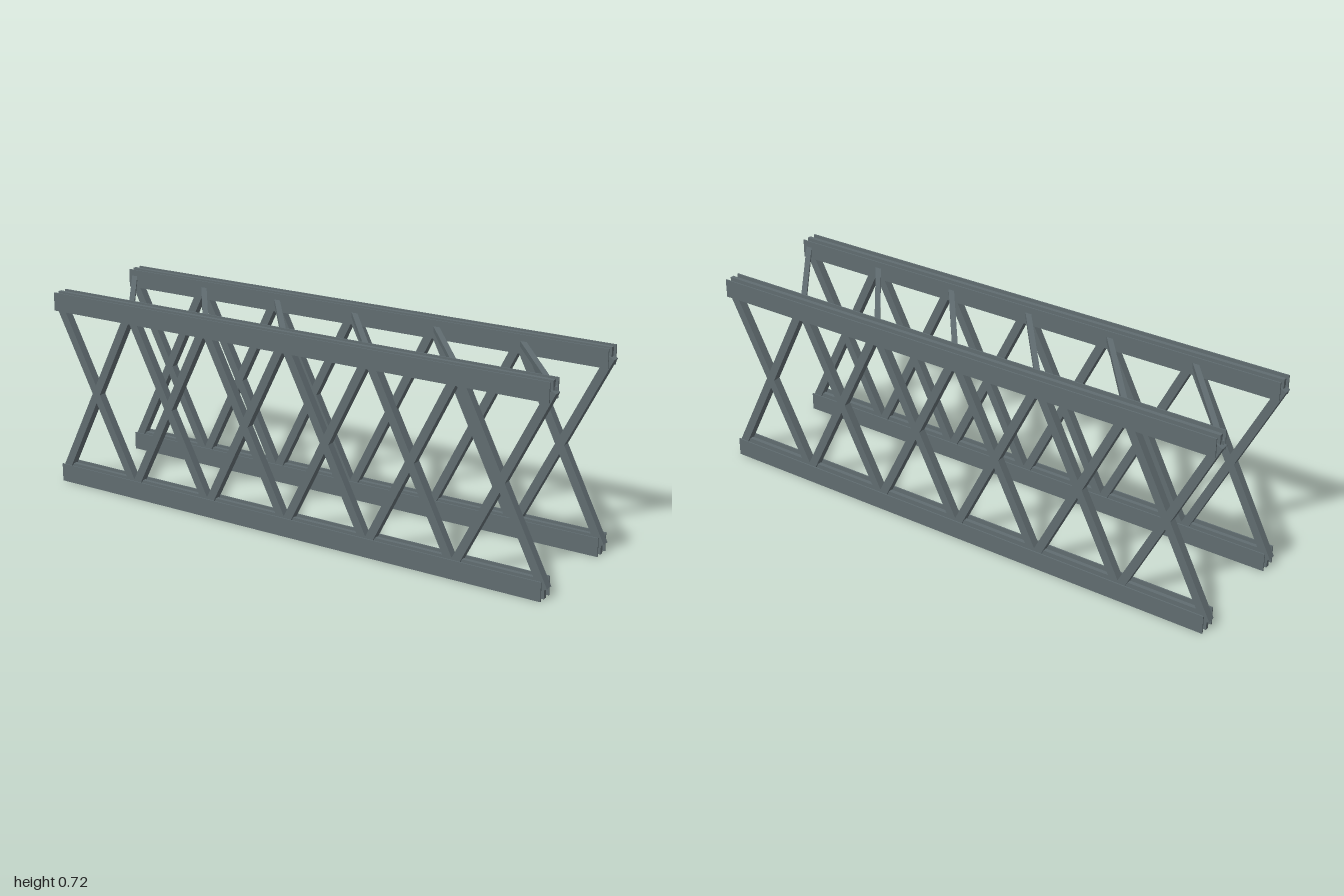
import * as THREE from 'three';

export function createModel() {
  const model = new THREE.Group();
  model.name = 'trussBridge';
  const steel = new THREE.MeshStandardMaterial({ color: 0x606c70 });
  steel.name = 'greySteel';

  const halfLength = 0.9866, panels = 6, panel = (2 * halfLength) / panels;
  const trussZ = 0.2135, lowY = 0.0335, highY = 0.6895, chordHeight = 0.067;

  const box = (parent, name, w, h, d, x, y, z) => {
    const mesh = new THREE.Mesh(new THREE.BoxGeometry(w, h, d), steel);
    mesh.name = name;
    mesh.position.set(x, y, z);
    parent.add(mesh);
    return mesh;
  };

  for (const side of [1, -1]) {
    const truss = new THREE.Group();
    truss.name = side > 0 ? 'frontTruss' : 'backTruss';
    truss.position.z = side * trussZ;
    model.add(truss);

    // Chords: a central web between two thin plates
    for (const [label, y] of [['bottom', lowY], ['top', highY]]) {
      box(truss, label + 'ChordWeb', 2 * halfLength, chordHeight, 0.0145, 0, y, 0);
      for (const s of [1, -1])
        box(truss, label + 'ChordPlate', 2 * halfLength, chordHeight, 0.0045, 0, y, s * 0.0305);
    }

    // Crossed diagonals in every panel
    const rise = highY - lowY;
    for (let i = 0; i < panels; i++) {
      const x = -halfLength + (i + 0.5) * panel;
      for (const s of [1, -1]) {
        const bar = box(truss, 'diagonal', Math.hypot(panel, rise), 0.03, 0.03,
          x, (lowY + highY) / 2, 0);
        bar.rotation.z = s * Math.atan2(rise, panel);
      }
    }
  }

  // Slanted braces joining the two top chords
  for (let i = 0; i < panels; i++) {
    const x = -halfLength + (i + 0.5) * panel;
    const brace = box(model, 'topBrace', Math.hypot(panel, 2 * trussZ), 0.019, 0.019, x, highY + 0.001, 0);
    brace.rotation.y = -Math.atan2(2 * trussZ, panel);
  }
  return model;
}
